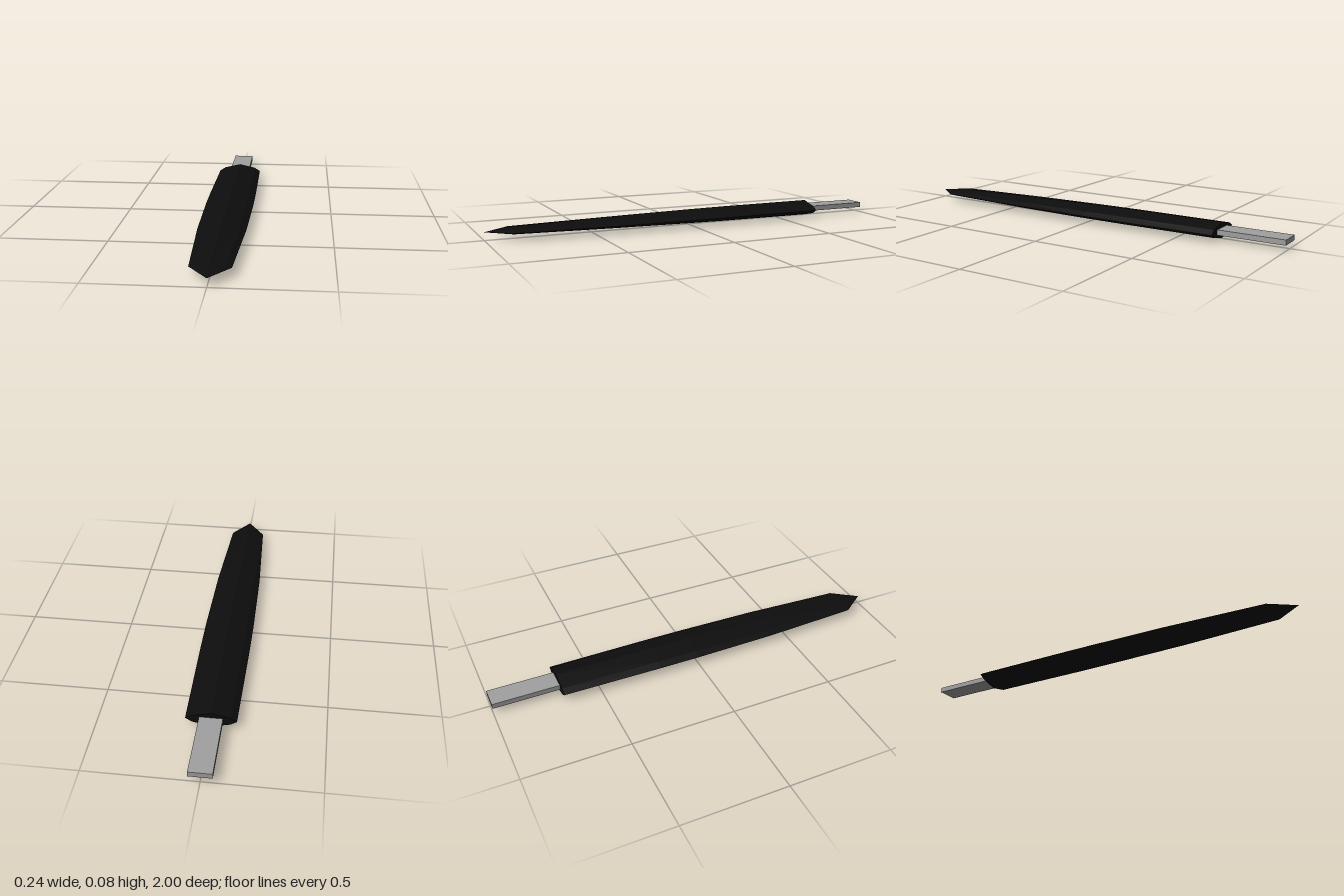
import * as THREE from 'three';

const CENTRE_Y = 0.038;

// Flattened octagonal section: centre ridges, bevel shoulders, sharp side edges
function section([z, w, h]) {
  const bx = w * 0.74, by = h * 0.48;
  return [[w, 0], [bx, by], [0, h], [-bx, by], [-w, 0], [-bx, -by], [0, -h], [bx, -by]]
    .map(([x, y]) => new THREE.Vector3(x, y, z));
}

// Skin consecutive sections, running from back to tip, and close the back
function loft(stations) {
  const rings = stations.map(section);
  const pos = [];
  const tri = (...corners) => corners.forEach((p) => pos.push(p.x, p.y, p.z));
  const n = rings[0].length;
  for (let i = 0; i < rings.length - 1; i++) {
    for (let j = 0; j < n; j++) {
      const k = (j + 1) % n;
      const a = rings[i][j], b = rings[i][k], c = rings[i + 1][k], d = rings[i + 1][j];
      tri(a, b, c);
      if (i < rings.length - 2) tri(a, c, d);
      else pos.splice(-9, 9), tri(a, b, d); // last band meets at the tip
    }
  }
  const middle = new THREE.Vector3(0, 0, stations[0][0]);
  for (let j = 0; j < n; j++) tri(middle, rings[0][(j + 1) % n], rings[0][j]);
  const geometry = new THREE.BufferGeometry();
  geometry.setAttribute('position', new THREE.Float32BufferAttribute(pos, 3));
  geometry.computeVertexNormals();
  return geometry;
}

export function createModel() {
  const black = new THREE.MeshStandardMaterial({ color: 0x0d0d0d });
  black.name = 'black';
  const grey = new THREE.MeshStandardMaterial({ color: 0xa0a0a0 });
  grey.name = 'steel grey';

  const group = new THREE.Group();
  group.name = 'bladeHead';

  // Blade stations: z, half width, half thickness
  const blade = new THREE.Mesh(loft([
    [-0.68, 0.113, 0.038],
    [-0.2, 0.118, 0.037],
    [0.0, 0.118, 0.035],
    [0.4, 0.111, 0.028],
    [0.88, 0.087, 0.016],
    [1.0, 0, 0],
  ]), black);
  blade.name = 'blade';
  blade.position.y = CENTRE_Y;
  group.add(blade);

  // Flat tang let slightly into the back of the blade
  const tang = new THREE.Mesh(new THREE.BoxGeometry(0.104, 0.025, 0.33), grey);
  tang.name = 'tang';
  tang.position.set(0, CENTRE_Y, -0.835);
  group.add(tang);

  return group;
}
